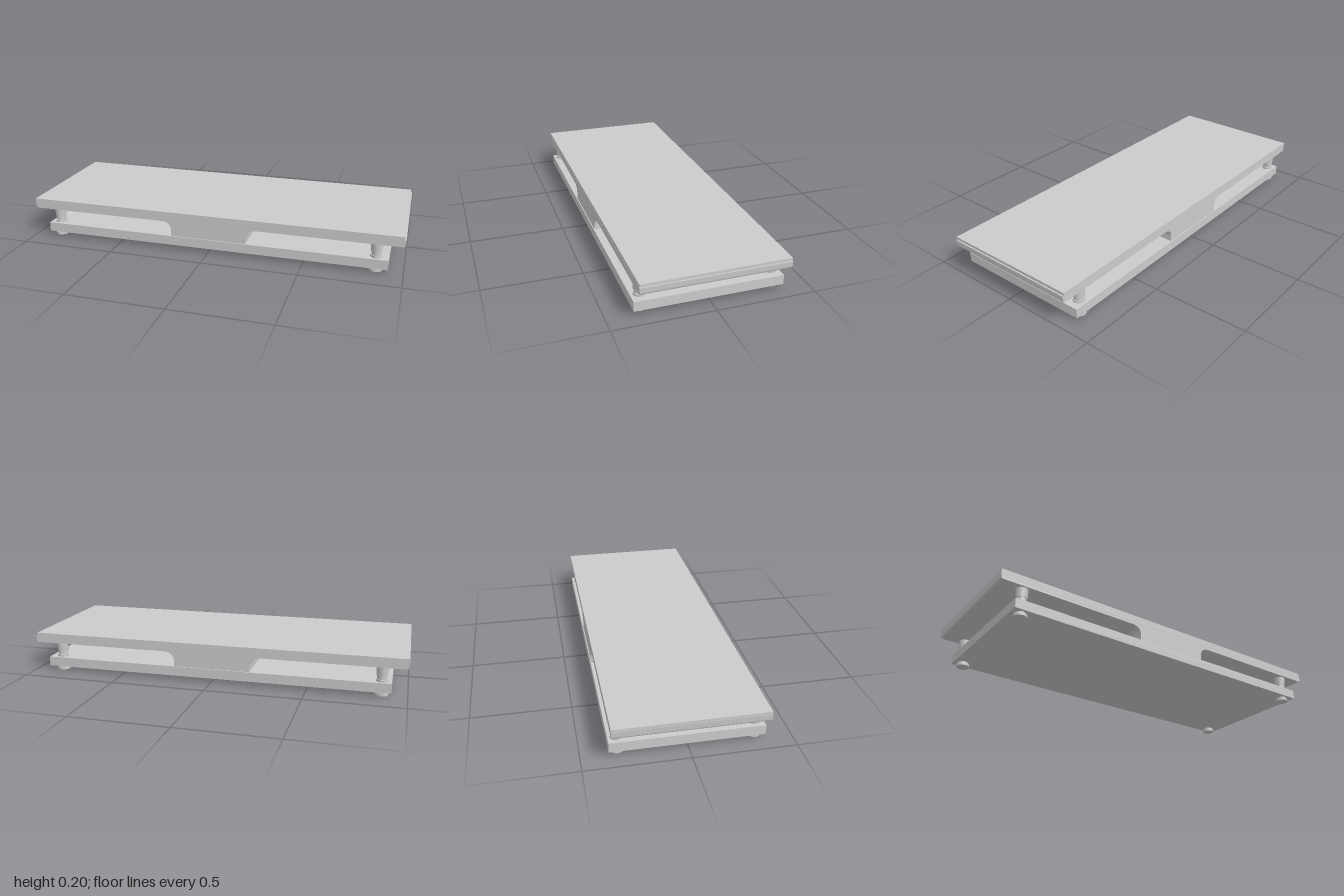
import * as THREE from 'three';

const material = new THREE.MeshStandardMaterial({ color: 0xcccccc });

function add(parent, name, geometry, x = 0, y = 0, z = 0) {
  const mesh = new THREE.Mesh(geometry, material);
  mesh.name = name;
  mesh.position.set(x, y, z);
  parent.add(mesh);
  return mesh;
}

// Upper body: slab with a central pedestal that flares into its underside
function upperBody() {
  const s = new THREE.Shape();
  s.moveTo(-0.2, 0.072);
  s.lineTo(0.2, 0.072);
  s.lineTo(0.2, 0.1);
  s.quadraticCurveTo(0.203, 0.15, 0.26, 0.15);
  s.lineTo(0.988, 0.15);
  s.quadraticCurveTo(0.997, 0.152, 0.998, 0.163);
  s.lineTo(1, 0.188);
  s.lineTo(-1, 0.188);
  s.lineTo(-0.998, 0.163);
  s.quadraticCurveTo(-0.997, 0.152, -0.988, 0.15);
  s.lineTo(-0.26, 0.15);
  s.quadraticCurveTo(-0.205, 0.15, -0.205, 0.1);
  s.lineTo(-0.205, 0.077);
  s.quadraticCurveTo(-0.205, 0.072, -0.2, 0.072);
  const g = new THREE.ExtrudeGeometry(s, { depth: 0.73, bevelEnabled: false, curveSegments: 12 });
  return g.translate(0, 0, -0.365);
}

// Stepped leg turned around y; it passes through the base to a round foot
function leg() {
  const rings = [
    [0.034, 0, 0.013], [0.029, 0.013, 0.023], [0.03, 0.071, 0.083],
    [0.025, 0.083, 0.101], [0.028, 0.101, 0.152, 0.031],
  ];
  const group = new THREE.Group();
  for (const [r, y0, y1, top = r] of rings) {
    add(group, 'legRing', new THREE.CylinderGeometry(top, r, y1 - y0, 32), 0, (y0 + y1) / 2, 0);
  }
  return group;
}

export function createModel() {
  const model = new THREE.Group();
  model.name = 'raisedPlatform';

  add(model, 'basePlate', new THREE.BoxGeometry(1.845, 0.05, 0.74), 0.002, 0.047, 0);
  add(model, 'upperBody', upperBody());
  add(model, 'topPlate', new THREE.BoxGeometry(1.992, 0.015, 0.731), -0.003, 0.1955, -0.001);

  // Four legs at the corners
  for (const x of [-0.872, 0.862]) {
    for (const z of [-0.328, 0.326]) {
      const g = leg();
      g.name = (z > 0 ? 'front' : 'back') + (x > 0 ? 'Left' : 'Right') + 'Leg';
      g.position.set(x, 0, z);
      model.add(g);
    }
  }
  return model;
}
